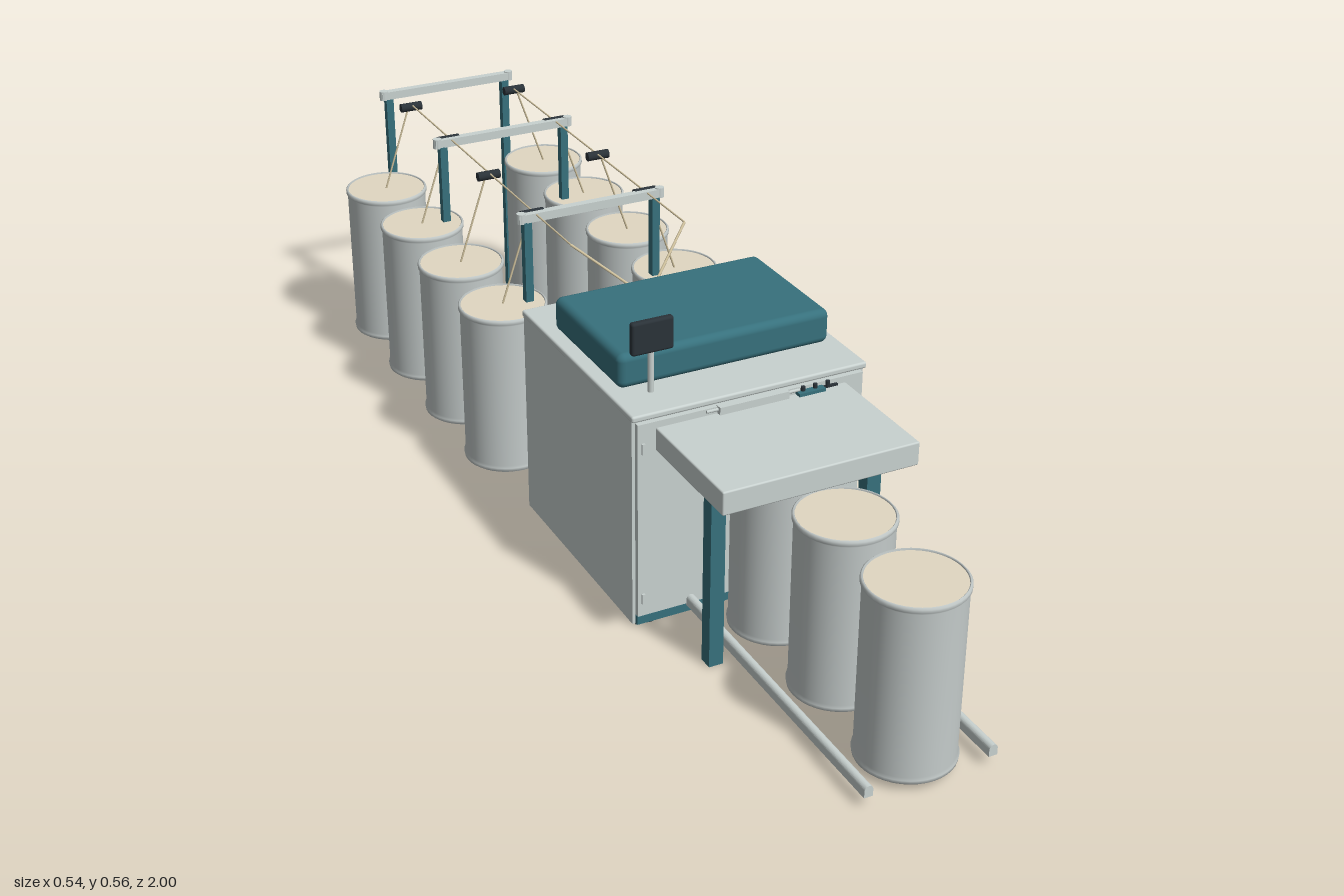
import * as THREE from 'three';
import { RoundedBoxGeometry } from 'three/addons/geometries/RoundedBoxGeometry.js';

const mat = (name, color) => {
  const m = new THREE.MeshStandardMaterial({ color });
  m.name = name;
  return m;
};

export function createModel() {
  const grey = mat('cabinetGrey', 0xc9d2d0);
  const steel = mat('canSteel', 0xc4cbca);
  const teal = mat('teal', 0x37717d);
  const cream = mat('fibreCream', 0xe2d8c2);
  const tan = mat('sliverTan', 0xcfc19d);
  const dark = mat('darkPlastic', 0x2a3238);
  const baseGrey = mat('canBaseGrey', 0x959b9a);
  const floorTeal = mat('floorTeal', 0x2f545b);
  steel.side = THREE.DoubleSide;

  const root = new THREE.Group();
  root.name = 'drawFrame';
  const add = (parent, name, geo, material, x = 0, y = 0, z = 0) => {
    const m = new THREE.Mesh(geo, material);
    m.name = name;
    m.position.set(x, y, z);
    parent.add(m);
    return m;
  };
  // Box given by its limits
  const box = (name, material, x0, x1, y0, y1, z0, z1, r = 0) => {
    const s = [x1 - x0, y1 - y0, z1 - z0];
    const g = r ? new RoundedBoxGeometry(...s, 3, r) : new THREE.BoxGeometry(...s);
    return add(root, name, g, material, (x0 + x1) / 2, (y0 + y1) / 2, (z0 + z1) / 2);
  };
  // Round rod between two points
  const rod = (name, material, a, b, r, sides = 8) => {
    const p = new THREE.Vector3(...a), q = new THREE.Vector3(...b);
    const d = q.clone().sub(p);
    const m = add(root, name, new THREE.CylinderGeometry(r, r, d.length(), sides), material);
    m.position.copy(p).add(q).multiplyScalar(0.5);
    m.quaternion.setFromUnitVectors(new THREE.Vector3(0, 1, 0), d.normalize());
  };

  // Cabinet
  box('cabinet', grey, -0.224, 0.224, 0.004, 0.407, -0.06, 0.388);
  box('cabinetFloor', floorTeal, -0.218, 0.218, 0.002, 0.006, -0.054, 0.39);
  box('frontDoor', grey, -0.218, 0.218, 0.023, 0.402, 0.386, 0.398);
  box('frontPlinth', teal, -0.218, 0.218, 0.005, 0.022, 0.386, 0.396);
  box('cabinetLid', grey, -0.227, 0.227, 0.406, 0.418, -0.062, 0.396, 0.004);
  for (const x of [-0.19, 0.19]) for (const z of [-0.03, 0.375])
    add(root, 'cabinetFoot', new THREE.CylinderGeometry(0.016, 0.016, 0.009, 16), dark, x, 0.0045, z);
  for (const y of [0.058, 0.356]) box('doorHinge', grey, -0.211, -0.205, y - 0.01, y + 0.01, 0.397, 0.402);
  box('doorHandle', dark, 0.181, 0.186, 0.196, 0.242, 0.397, 0.41);
  box('frontSlot', grey, -0.068, 0.066, 0.389, 0.404, 0.395, 0.408);
  rod('frontShaft', grey, [-0.09, 0.398, 0.4], [0.09, 0.398, 0.4], 0.003);

  // Drafting head cover
  box('headCover', teal, -0.206, 0.206, 0.418, 0.483, 0.035, 0.303, 0.014);

  // Control screen
  rod('screenPole', grey, [-0.157, 0.418, 0.325], [-0.157, 0.51, 0.325], 0.0055, 12);
  box('screenCase', dark, -0.197, -0.118, 0.495, 0.556, 0.322, 0.336, 0.005);

  // Delivery table
  box('deliveryTable', grey, -0.184, 0.184, 0.346, 0.39, 0.396, 0.634, 0.003);
  for (const s of [-1, 1]) {
    box('tableLeg', teal, s * 0.149 - 0.0135, s * 0.149 + 0.0135, 0, 0.348, 0.53, 0.557);
    // Can guide rail with rounded top
    const section = new THREE.Shape();
    section.moveTo(-0.008, 0.019).lineTo(0.008, 0.019).lineTo(0.008, 0.032);
    section.absarc(0, 0.032, 0.008, 0, Math.PI, false);
    add(root, 'canRail', new THREE.ExtrudeGeometry(section,
      { depth: 0.595, bevelEnabled: false, curveSegments: 8 }), grey, s * 0.115, 0, 0.395);
  }
  // Push buttons
  box('buttonPanel', teal, 0.084, 0.136, 0.389, 0.396, 0.385, 0.412);
  box('buttonStrip', dark, 0.09, 0.165, 0.39, 0.394, 0.397, 0.403);
  for (const x of [0.096, 0.12, 0.145])
    add(root, 'button', new THREE.CylinderGeometry(0.004, 0.004, 0.012, 12), dark, x, 0.398, 0.402);

  // Faceted side funnel on the cabinet
  const funnelGeo = new THREE.CylinderGeometry(0.019, 0.005, 0.17, 4).toNonIndexed();
  funnelGeo.computeVertexNormals();
  add(root, 'sideFunnel', funnelGeo, grey, 0.217, 0.129, 0.02).rotation.x = -Math.PI / 2;

  // Sliver cans
  const canPoints = [[0.08, 0.012], [0.085, 0.015], [0.086, 0.022], [0.083, 0.026], [0.083, 0.329],
    [0.086, 0.333], [0.086, 0.339], [0.083, 0.342], [0.081, 0.34], [0.081, 0.332]]
    .map(p => new THREE.Vector2(...p));
  const canGeo = new THREE.LatheGeometry(canPoints, 40);
  const fillGeo = new THREE.CylinderGeometry(0.081, 0.081, 0.006, 40);
  const baseGeo = new THREE.CylinderGeometry(0.081, 0.081, 0.004, 40);
  const casterGeo = new THREE.CylinderGeometry(0.01, 0.01, 0.013, 12);
  const can = (x, z) => {
    const g = new THREE.Group();
    g.name = 'sliverCan';
    g.position.set(x, 0, z);
    add(g, 'canWall', canGeo, steel);
    add(g, 'canFibre', fillGeo, cream, 0, 0.336, 0);
    add(g, 'canBase', baseGeo, baseGrey, 0, 0.014, 0);
    for (const [cx, cz] of [[0.049, 0], [-0.049, 0], [0, 0.049], [0, -0.049]])
      add(g, 'caster', casterGeo, dark, cx, 0.0065, cz);
    root.add(g);
  };
  [0.913, 0.705, 0.497].forEach(z => can(0, z));

  // Creel: rear cans, rollers and slivers
  for (const s of [-1, 1]) {
    for (const z of [-0.255, -0.469, -0.683, -0.897]) {
      can(s * 0.185, z);
      rod('guideRoller', dark, [s * 0.096, 0.513, z], [s * 0.142, 0.513, z], 0.009, 16);
      rod('risingSliver', tan, [s * 0.185, 0.338, z], [s * 0.125, 0.512, z], 0.002);
    }
    rod('creelSliver', tan, [s * 0.117, 0.517, -0.897], [s * 0.117, 0.517, -0.083], 0.0017);
    rod('feedSliver', tan, [s * 0.117, 0.517, -0.083], [0, 0.42, 0], 0.0025);
  }
  for (const z of [0.003, 0.021]) rod('feedGuide', tan, [-0.042, 0.421, z], [0.042, 0.421, z], 0.003);

  // Creel gantries
  for (const z of [-0.245, -0.675, -0.991]) {
    box('crossBar', grey, -0.152, 0.152, 0.503, 0.52, z - 0.008, z + 0.008);
    for (const s of [-1, 1]) {
      box('creelPost', teal, s * 0.135 - 0.008, s * 0.135 + 0.008, 0, 0.504, z - 0.008, z + 0.008);
      add(root, 'postCap', new THREE.CylinderGeometry(0.009, 0.009, 0.02, 12), grey, s * 0.146, 0.512, z);
    }
  }
  return root;
}
